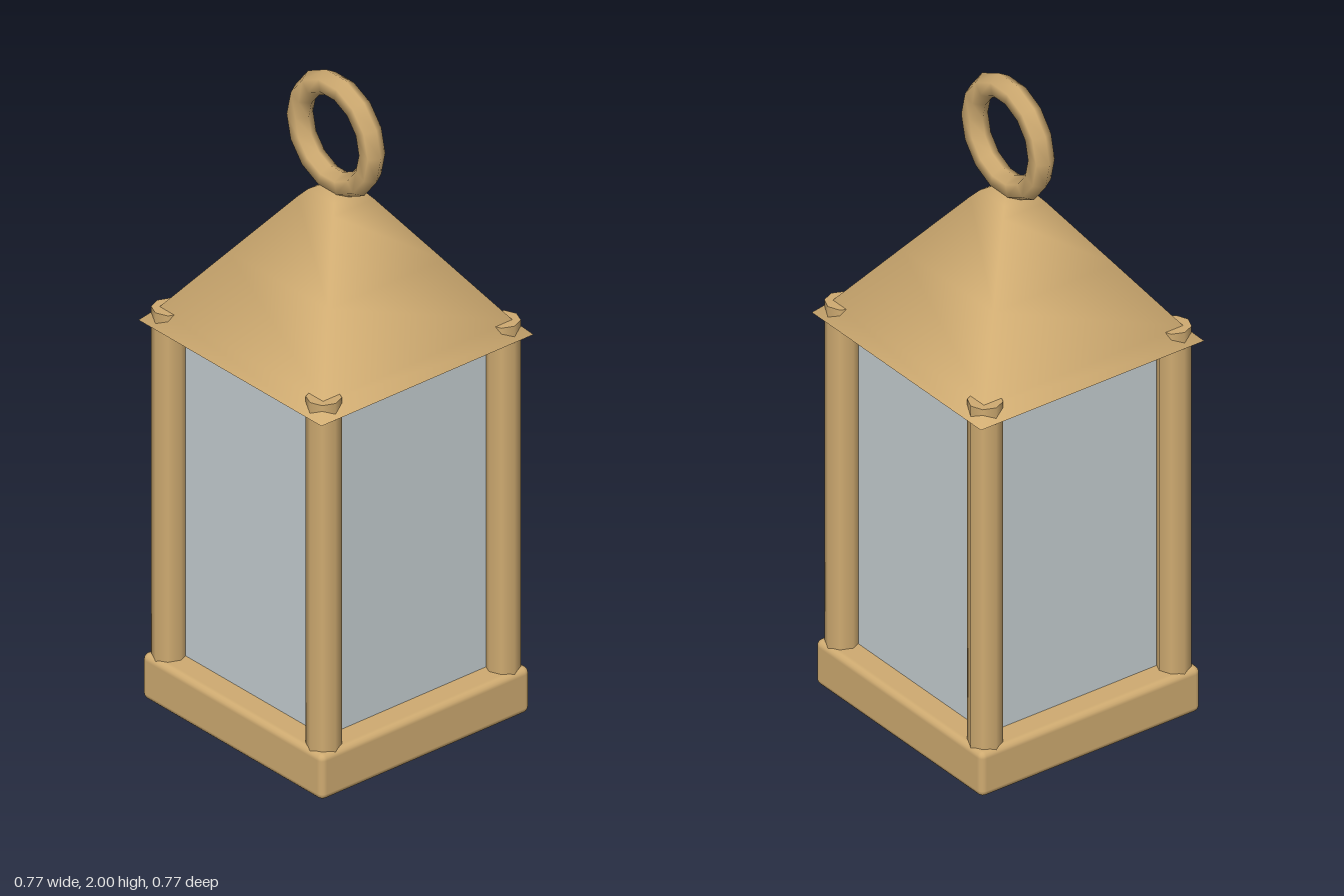
import * as THREE from 'three';
import { RoundedBoxGeometry } from 'three/addons/geometries/RoundedBoxGeometry.js';

export function createModel() {
  const lantern = new THREE.Group();
  lantern.name = 'lantern';
  const brass = new THREE.MeshStandardMaterial({ color: 0xcfab71 });
  brass.name = 'brass';
  const roofBrass = brass;
  roofBrass.side = THREE.DoubleSide; // the roof is an open sheet
  const glass = new THREE.MeshStandardMaterial({ color: 0xc6cfd2 });
  glass.name = 'pale glass';

  const add = (name, geometry, material, x, y, z) => {
    const mesh = new THREE.Mesh(geometry, material);
    mesh.name = name;
    mesh.position.set(x, y, z);
    lantern.add(mesh);
    return mesh;
  };

  // Base slab with softened edges
  add('base', new RoundedBoxGeometry(0.76, 0.145, 0.76, 2, 0.02), brass, 0, 0.0725, 0);

  // Glass body
  add('glassPanes', new THREE.BoxGeometry(0.6, 1.08, 0.6), glass, 0, 0.67, 0);

  // Corner posts, their tops poking through the eaves
  const postGeometry = new THREE.CylinderGeometry(0.05, 0.05, 1.145, 8);
  for (const x of [-1, 1]) {
    for (const z of [-1, 1]) {
      const name = (z > 0 ? 'front' : 'back') + (x > 0 ? 'Left' : 'Right') + 'Post';
      add(name, postGeometry, brass, x * 0.325, 0.6725, z * 0.325);
    }
  }

  // Four-sided roof with a rounded peak; profile is [half width, height]
  const profile = [[0.385, 1.2], [0.345, 1.243], [0.21, 1.428], [0.075, 1.612], [0.055, 1.636], [0.03, 1.652], [0, 1.656]]
    .map(([w, y]) => new THREE.Vector2(w * Math.SQRT2, y));
  add('roof', new THREE.LatheGeometry(profile, 4, Math.PI / 4), roofBrass, 0, 0, 0);

  // Carrying ring
  add('ring', new THREE.TorusGeometry(0.152, 0.037, 6, 14), brass, 0, 1.816, 0);

  return lantern;
}
